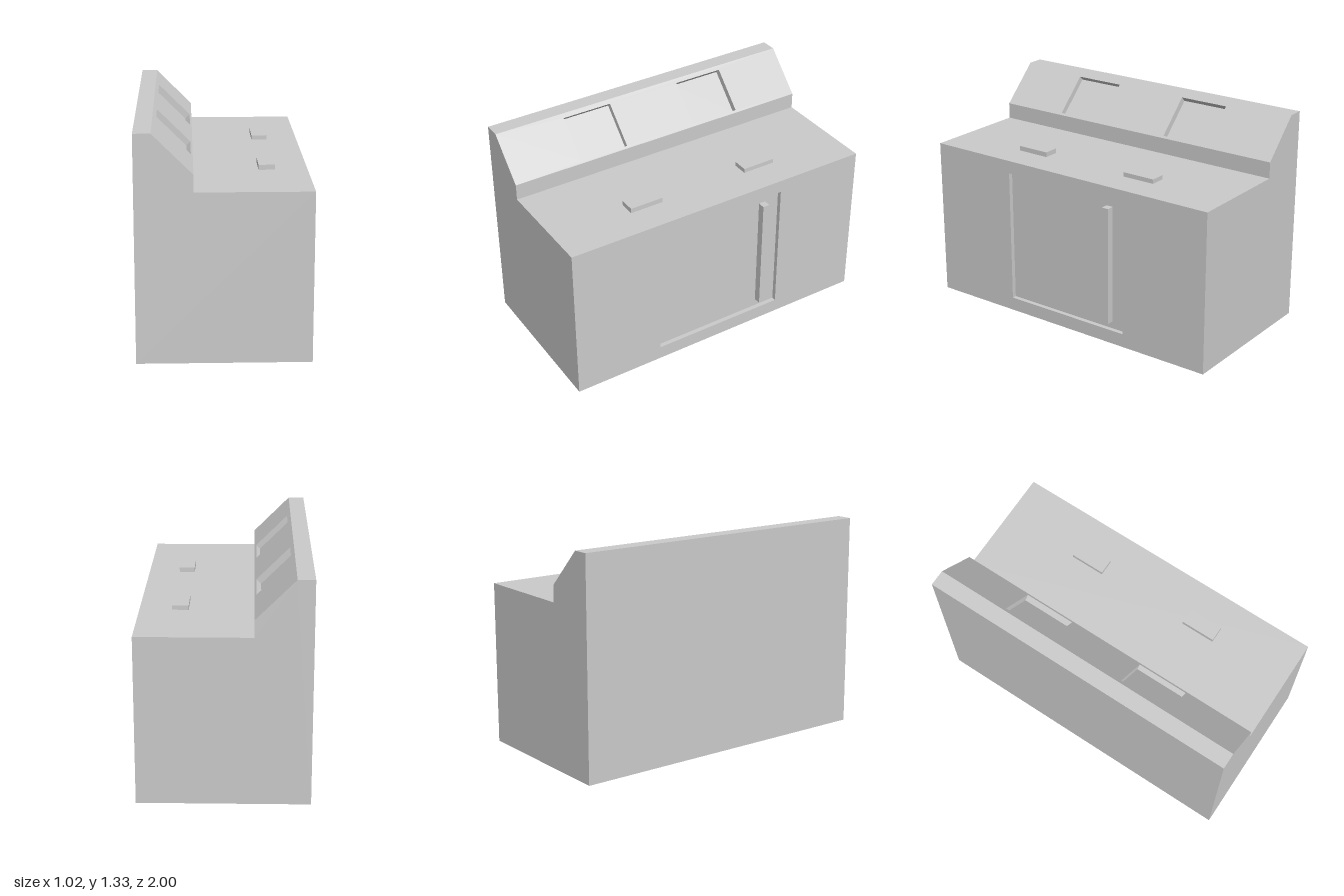
import * as THREE from 'three';

const material = new THREE.MeshStandardMaterial({ color: 0xcccccc, flatShading: true });

// Reverses the winding of a geometry so that it faces the other way
function flip(geometry) {
  const index = Array.from(geometry.index.array);
  for (let i = 0; i < index.length; i += 3) [index[i], index[i + 1]] = [index[i + 1], index[i]];
  geometry.setIndex(index);
  geometry.computeVertexNormals();
  return geometry;
}

function addMesh(parent, name, geometry, x = 0, y = 0, z = 0) {
  const mesh = new THREE.Mesh(geometry, material);
  mesh.name = name;
  mesh.position.set(x, y, z);
  parent.add(mesh);
  return mesh;
}

// Inward-facing box, open towards +z, sunk below the z = 0 plane
function recessGeometry(width, height, depth) {
  const box = new THREE.BoxGeometry(width, height, depth).translate(0, 0, -depth / 2);
  const index = Array.from(box.index.array);
  index.splice(24, 6);
  box.setIndex(index);
  return flip(box);
}

// Flat wall over one edge of the side profile, with rectangular recesses.
// Local axes: x runs along -z of the model, y along the edge, z outwards.
function addPanel(parent, name, [ax, ay], [bx, by], halfWidth, recesses = []) {
  const length = Math.hypot(bx - ax, by - ay);
  const vx = (bx - ax) / length, vy = (by - ay) / length;
  const panel = new THREE.Group();
  panel.name = name;
  panel.applyMatrix4(new THREE.Matrix4().makeBasis(
    new THREE.Vector3(0, 0, -1),
    new THREE.Vector3(vx, vy, 0),
    new THREE.Vector3(vy, -vx, 0)
  ).setPosition(ax, ay, 0));

  const rect = (C, x0, x1, y0, y1) => new C([
    new THREE.Vector2(x0, y0), new THREE.Vector2(x1, y0),
    new THREE.Vector2(x1, y1), new THREE.Vector2(x0, y1)
  ]);
  const shape = rect(THREE.Shape, -halfWidth, halfWidth, 0, length);
  for (const r of recesses) {
    const u = -r.z;
    shape.holes.push(rect(THREE.Path, u - r.width / 2, u + r.width / 2, r.from, r.to));
    addMesh(panel, r.name, recessGeometry(r.width, r.to - r.from, r.depth), u, (r.from + r.to) / 2, 0);
  }
  addMesh(panel, name + 'Surface', new THREE.ShapeGeometry(shape));
  parent.add(panel);
}

export function createModel() {
  const model = new THREE.Group();
  model.name = 'counterUnit';
  const cabinet = new THREE.Group();
  cabinet.name = 'cabinet';
  model.add(cabinet);

  // Side profile: block with a sloped upstand along one long side
  const profile = [
    [-0.51, 0], [0.49, 0], [0.49, 1], [-0.18, 1],
    [-0.18, 1.1], [-0.41, 1.33], [-0.51, 1.33]
  ];
  const names = ['base', 'doorWall', 'worktop', 'upstandFoot', 'slopedPanel', 'upstandTop', 'rearWall'];
  const recesses = {
    doorWall: [{ name: 'doorRecess', z: 0, width: 0.86, from: 0.085, to: 0.92, depth: 0.028 }],
    slopedPanel: [
      { name: 'screenRecess', z: 0.4, width: 0.32, from: 0.016, to: 0.296, depth: 0.035 },
      { name: 'screenRecess', z: -0.4, width: 0.32, from: 0.016, to: 0.296, depth: 0.04 }
    ]
  };
  names.forEach((name, i) => {
    addPanel(cabinet, name, profile[i], profile[(i + 1) % profile.length], 1, recesses[name]);
  });

  // End walls
  const outline = new THREE.Shape(profile.map(([x, y]) => new THREE.Vector2(x, y)));
  addMesh(cabinet, 'frontEnd', new THREE.ShapeGeometry(outline), 0, 0, 1);
  addMesh(cabinet, 'backEnd', flip(new THREE.ShapeGeometry(outline)), 0, 0, -1);

  // Raised pads on the worktop
  for (const [z, height] of [[0.398, 0.03], [-0.398, 0.027]]) {
    addMesh(model, 'worktopPad', new THREE.BoxGeometry(0.096, height, 0.212), 0.25, 1 + height / 2, z);
  }

  // Upright door handle, standing on the recessed door
  addMesh(model, 'doorHandle', new THREE.BoxGeometry(0.046, 0.737, 0.044), 0.485, 0.5015, -0.313);

  return model;
}
